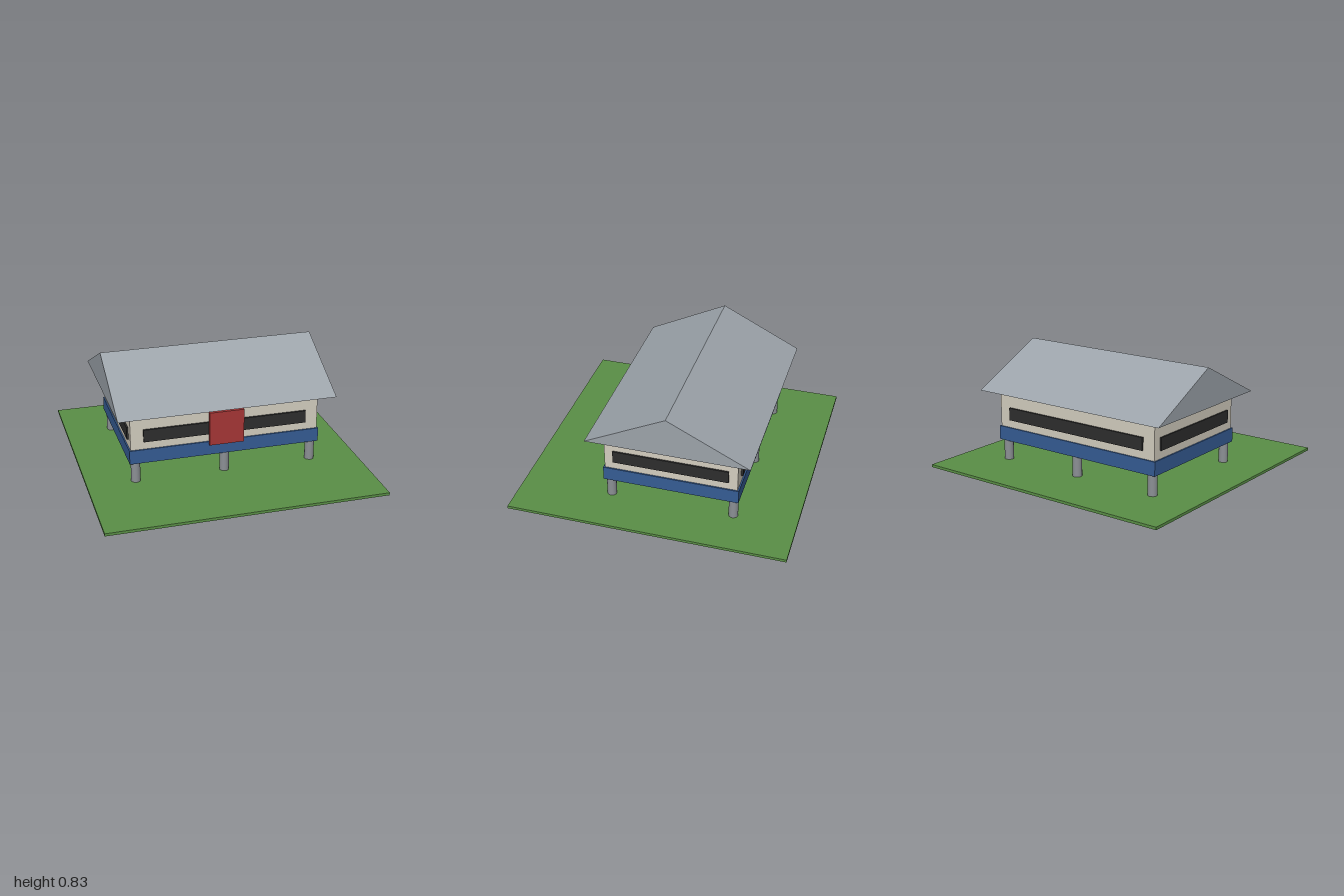
import * as THREE from 'three';

const mat = (name, color) => Object.assign(new THREE.MeshStandardMaterial({ color }), { name });

export function createModel() {
  const group = new THREE.Group();
  const grass = mat('grass green', 0x5a8f46);
  const blue = mat('base blue', 0x355c94);
  const cream = mat('wall cream', 0xd4cec0);
  const dark = mat('window dark', 0x2d2d2d);
  const red = mat('door red', 0xa63636);
  const slate = mat('roof grey', 0x9ca3aa);
  const steel = mat('pillar grey', 0x8c9095);

  const cz = -0.105; // the house sits behind the middle of the lawn

  const add = (name, geometry, material, x, y, z) => {
    const mesh = new THREE.Mesh(geometry, material);
    mesh.name = name;
    mesh.position.set(x, y, z);
    group.add(mesh);
    return mesh;
  };
  const box = (name, material, w, h, d, x, y, z) =>
    add(name, new THREE.BoxGeometry(w, h, d), material, x, y, z);

  // Lawn
  box('lawn', grass, 2, 0.02, 2, 0, 0.01, 0);

  // Pillars: three along the front, three along the back
  const pillar = new THREE.CylinderGeometry(0.034, 0.034, 0.17, 16);
  for (const z of [0.34, -0.55])
    for (const x of [-0.65, 0, 0.65]) add('pillar', pillar, steel, x, 0.09, z);

  // Raised floor and walls
  box('floorBand', blue, 1.395, 0.102, 0.976, 0, 0.222, cz);
  box('walls', cream, 1.375, 0.275, 0.955, 0, 0.409, cz);

  // Ribbon windows on all four sides
  for (const s of [-1, 1]) {
    box('longWindow', dark, 1.19, 0.092, 0.02, 0, 0.378, cz + s * 0.482);
    box('endWindow', dark, 0.02, 0.092, 0.83, s * 0.689, 0.378, cz);
  }

  // Front door
  box('door', red, 0.252, 0.25, 0.019, 0, 0.38, 0.4);

  // Solid gable roof, extruded along x
  const gable = new THREE.Shape([
    new THREE.Vector2(-0.582, 0), new THREE.Vector2(0.582, 0), new THREE.Vector2(0, 0.288),
  ]);
  const roof = new THREE.ExtrudeGeometry(gable, { depth: 1.58, bevelEnabled: false });
  roof.translate(0, 0, -0.79).rotateY(Math.PI / 2);
  add('roof', roof, slate, 0, 0.546, cz);

  return group;
}
